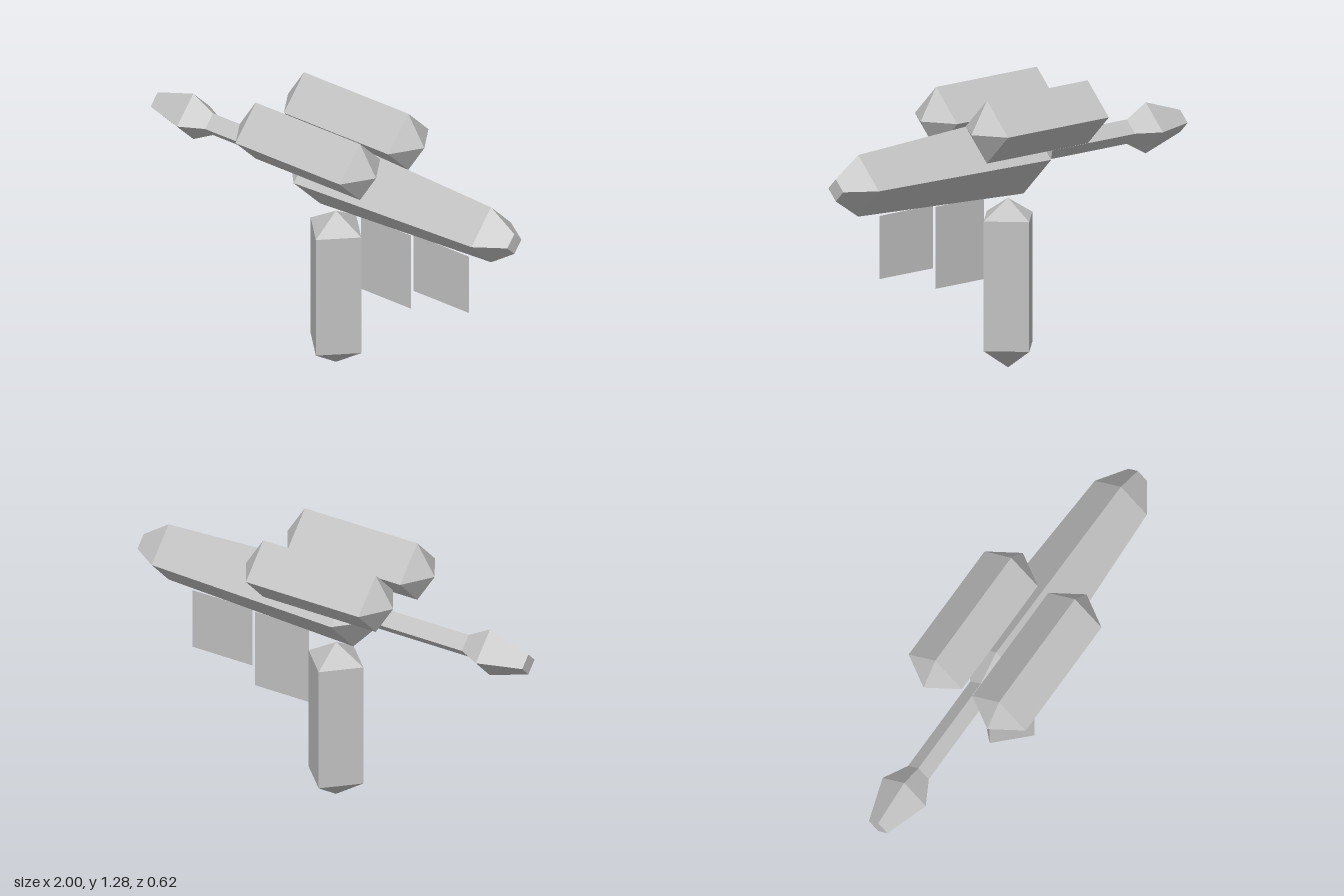
import * as THREE from 'three';

export function createModel() {
  const model = new THREE.Group();
  const grey = new THREE.MeshStandardMaterial({ color: 0xc0c0c0 });
  grey.name = 'plain grey';
  grey.flatShading = true;
  grey.side = THREE.DoubleSide;

  // Four-sided diamond bar from [position along axis, half width] pairs
  const diamondBar = (profile) =>
    new THREE.LatheGeometry(profile.map(([along, r]) => new THREE.Vector2(r, along)), 4);

  const add = (name, geometry, x, y, z) => {
    const mesh = new THREE.Mesh(geometry, grey);
    mesh.name = name;
    mesh.position.set(x, y, z);
    model.add(mesh);
  };

  // Hull, thin boom and flared tail in one run along x
  add('body', diamondBar([
    [-1, 0], [-1, 0.05], [-0.8, 0.115], [-0.69, 0.055], [-0.21, 0.055],
    [-0.09, 0.185], [0.87, 0.139], [1, 0.05], [1, 0],
  ]).rotateZ(-Math.PI / 2), 0, 0.955, 0);

  // Paired pods above the hull, pointed at both ends
  for (const side of [1, -1]) {
    add(side > 0 ? 'frontPod' : 'backPod', diamondBar([
      [-0.405, 0], [-0.315, 0.142], [0.27, 0.142], [0.36, 0],
    ]).rotateZ(-Math.PI / 2), 0, 1.134, side * 0.17);
  }

  // Upright pod below the hull
  add('lowerPod', diamondBar([[0, 0], [0.095, 0.142], [0.68, 0.142], [0.765, 0]]), 0, 0, 0);

  // Flat panels hanging under the hull: left, right, bottom, top
  [[0.14, 0.42, 0.42, 0.79], [0.435, 0.745, 0.515, 0.8]].forEach(([x0, x1, y0, y1], i) => {
    add(`panel${i + 1}`, new THREE.PlaneGeometry(x1 - x0, y1 - y0), (x0 + x1) / 2, (y0 + y1) / 2, 0);
  });

  return model;
}
